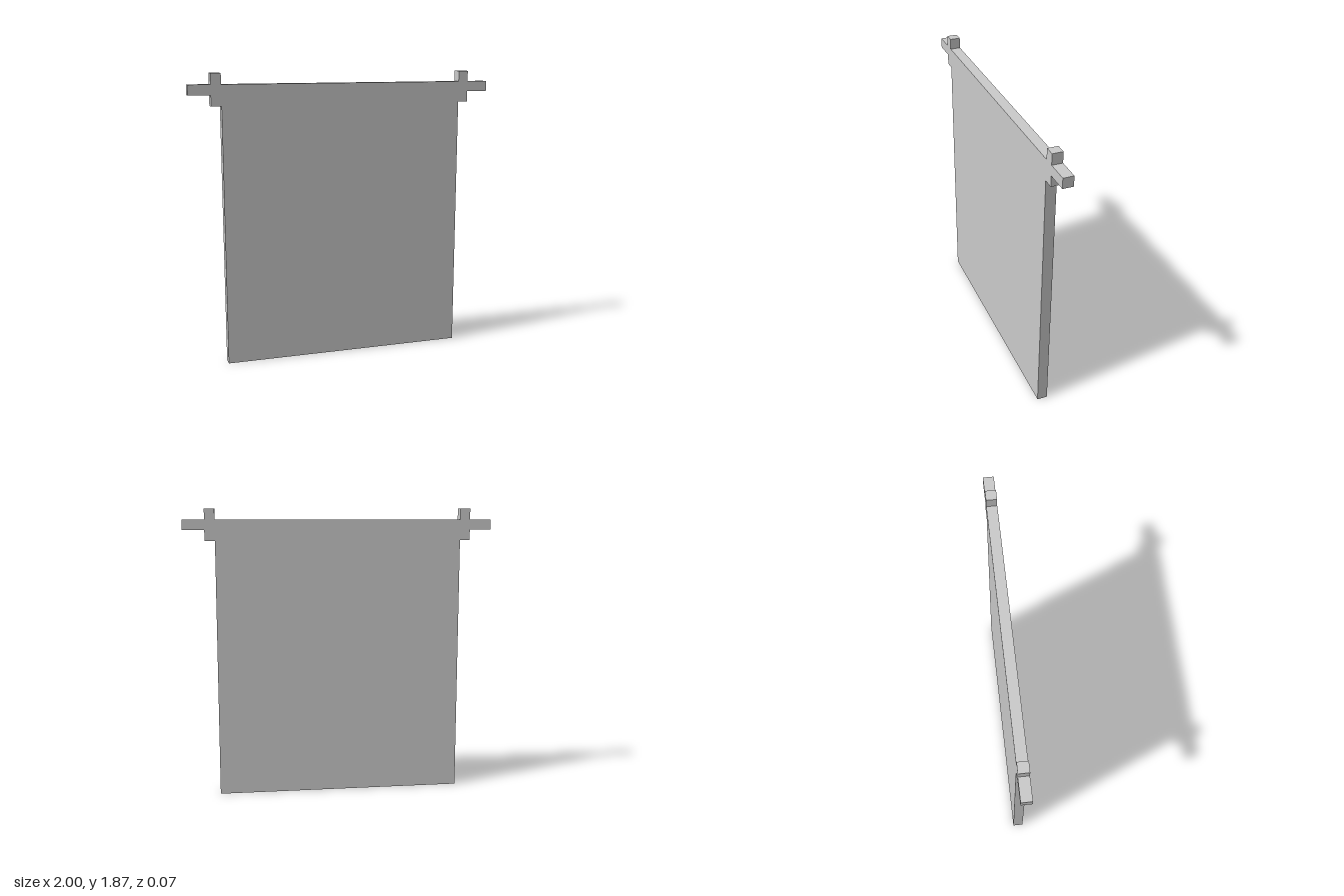
import * as THREE from 'three';

const DEPTH = 0.066;
const PANEL_X = 0.796, POST_X = 0.861, END_X = 1;
const ROD_LOW = 1.731, ROD_TOP = 1.796;
const POST_LOW = 1.663, POST_TOP = 1.865;

const material = new THREE.MeshStandardMaterial({ color: 0xcccccc, flatShading: true });

// Box given by its extents in x and y, centred on z = 0
function slab(name, x0, x1, y0, y1) {
  const mesh = new THREE.Mesh(new THREE.BoxGeometry(Math.abs(x1 - x0), y1 - y0, DEPTH), material);
  mesh.position.set((x0 + x1) / 2, (y0 + y1) / 2, 0);
  mesh.name = name;
  return mesh;
}

export function createModel() {
  const model = new THREE.Group();
  model.name = 'hangingBanner';

  // Cloth panel, flush with the top of the rod
  model.add(slab('bannerPanel', -PANEL_X, PANEL_X, 0, ROD_TOP));

  // Cross-shaped rod ends on both sides
  for (const [side, s] of [['left', 1], ['right', -1]]) {
    model.add(slab(side + 'Collar', s * PANEL_X, s * POST_X, POST_LOW, POST_TOP));
    model.add(slab(side + 'RodEnd', s * POST_X, s * END_X, ROD_LOW, ROD_TOP));
  }
  return model;
}
